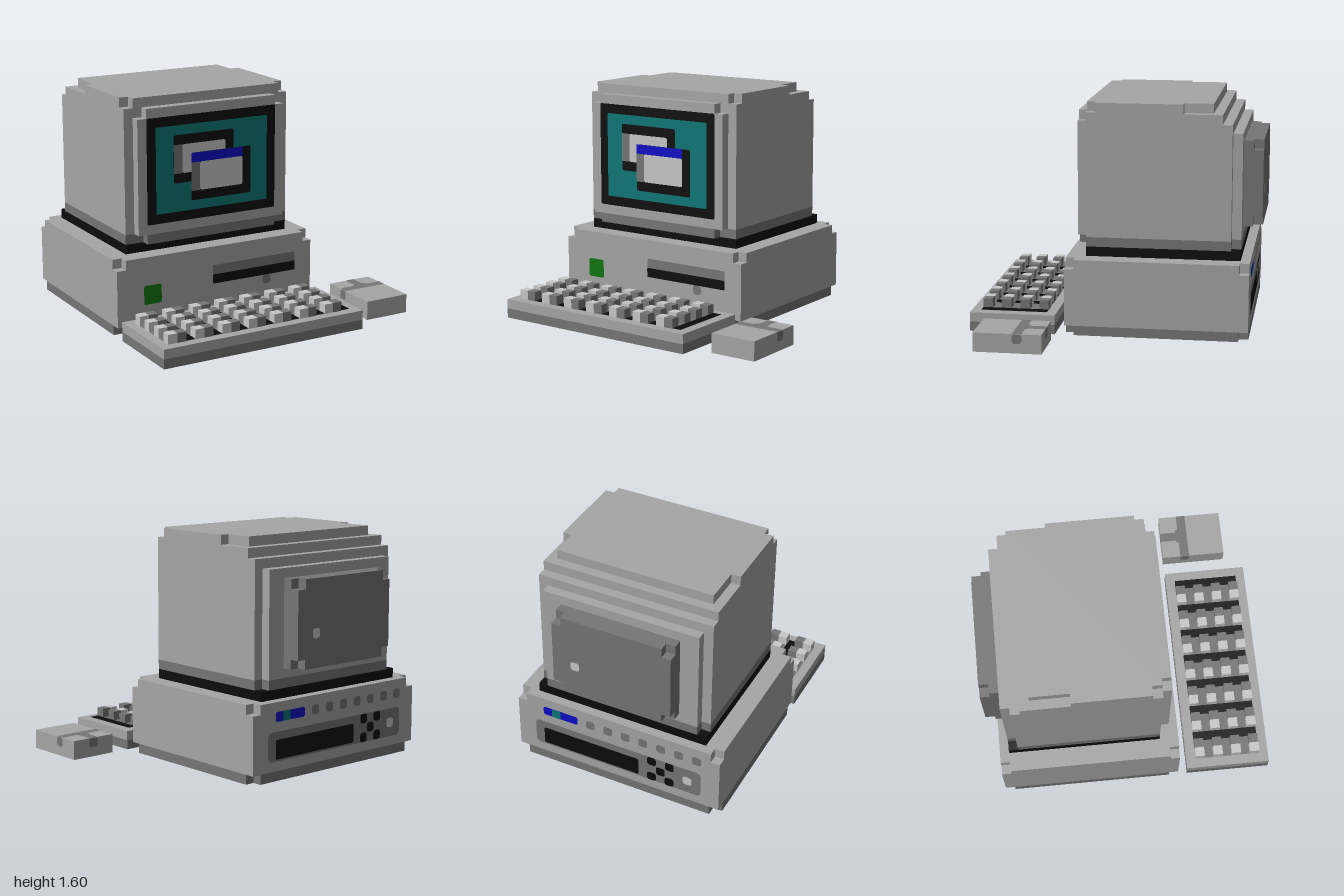
import * as THREE from 'three';

const material = (name, color) => {
  const m = new THREE.MeshStandardMaterial({ color });
  m.name = name;
  return m;
};

export function createModel() {
  const light = material('lightGrey', 0xc8c8c8);
  const grey = material('caseGrey', 0xa6a6a6);
  const dark = material('darkGrey', 0x767676);
  const black = material('black', 0x0c0c0c);
  const teal = material('teal', 0x0c7676);
  const blue = material('blue', 0x0c0cc8);
  const green = material('green', 0x0f760f);

  // Everything is laid out on a block grid, 15 blocks to one unit
  const model = new THREE.Group();
  model.name = 'desktopComputer';
  const blocks = new THREE.Group();
  blocks.name = 'blocks';
  blocks.scale.setScalar(1 / 15);
  model.add(blocks);

  let parent;
  const section = (name) => {
    parent = new THREE.Group();
    parent.name = name;
    blocks.add(parent);
  };
  const box = (name, mat, x0, x1, y0, y1, z0, z1) => {
    const mesh = new THREE.Mesh(new THREE.BoxGeometry(x1 - x0, y1 - y0, z1 - z0), mat);
    mesh.position.set((x0 + x1) / 2, (y0 + y1) / 2, (z0 + z1) / 2);
    mesh.name = name;
    parent.add(mesh);
  };
  // Slab whose four vertical corner blocks are missing
  const notchedSlab = (name, mat, x0, x1, y0, y1, z0, z1) => {
    box(name, mat, x0 + 1, x1 - 1, y0, y1, z0, z1);
    box(name, mat, x0, x0 + 1, y0, y1, z0 + 1, z1 - 1);
    box(name, mat, x1 - 1, x1, y0, y1, z0 + 1, z1 - 1);
  };

  // Painted rounded rectangle on a face; a and b are the two axes of that face
  const paint = (name, mat, face, at, a0, a1, b0, b1, level = 1, r = 0.2) => {
    const w = (a1 - a0) / 2, h = (b1 - b0) / 2;
    const s = new THREE.Shape();
    s.moveTo(-w + r, -h);
    s.lineTo(w - r, -h);
    s.absarc(w - r, -h + r, r, -Math.PI / 2, 0);
    s.absarc(w - r, h - r, r, 0, Math.PI / 2);
    s.absarc(-w + r, h - r, r, Math.PI / 2, Math.PI);
    s.absarc(-w + r, -h + r, r, Math.PI, Math.PI * 1.5);
    const mesh = new THREE.Mesh(new THREE.ShapeGeometry(s, 3), mat);
    const a = (a0 + a1) / 2, b = (b0 + b1) / 2, e = 0.03 * level;
    if (face === 'front') mesh.position.set(a, b, at + e);
    if (face === 'back') { mesh.rotation.y = Math.PI; mesh.position.set(a, b, at - e); }
    if (face === 'top') { mesh.rotation.x = -Math.PI / 2; mesh.position.set(a, at + e, b); }
    if (face === 'bottom') { mesh.rotation.x = Math.PI / 2; mesh.position.set(a, at - e, b); }
    if (face === 'left') { mesh.rotation.y = Math.PI / 2; mesh.position.set(at + e, b, a); }
    if (face === 'right') { mesh.rotation.y = -Math.PI / 2; mesh.position.set(at - e, b, a); }
    mesh.name = name;
    parent.add(mesh);
  };
  const dot = (name, mat, face, at, a, b, level = 1) =>
    paint(name, mat, face, at, a - 0.5, a + 0.5, b - 0.5, b + 0.5, level, 0.3);

  // Main case
  section('mainCase');
  notchedSlab('caseBase', dark, -15, 8, 0, 1, -14, 5);
  box('caseBody', grey, -15, 8, 1, 7, -14, 5);
  notchedSlab('caseTop', grey, -15, 8, 7, 8, -14, 5);
  paint('powerLight', green, 'front', 5, -12, -10, 3, 5);
  paint('driveLip', dark, 'front', 5, -4, 6, 4, 6, 1);
  paint('driveSlot', black, 'front', 5, -4, 6, 4, 5, 2, 0.1);
  dot('ejectButton', dark, 'front', 5, 2.5, 3.5);
  for (const x of [-12, 5]) for (const z of [-11.5, 2.5]) {
    paint('caseFoot', black, 'bottom', 0, x - 0.9, x + 0.9, z - 0.9, z + 0.9, 1, 0.3);
  }

  // Rear connectors
  paint('bluePort', blue, 'back', -14, 1, 5, 6, 7, 1, 0.25);
  paint('tealPort', teal, 'back', -14, 3, 4, 6, 7, 2, 0.1);
  for (let i = 0; i < 7; i++) dot('jack', dark, 'back', -14, -0.5 - 2 * i, 6.5);
  paint('rearPanel', dark, 'back', -14, -13, 6, 2, 5, 1, 0.5);
  paint('rearVent', black, 'back', -14, -6, 5, 2.2, 4.2, 2);
  for (const [x, y] of [[-7.5, 4.5], [-9.5, 4.5], [-8.5, 3.5], [-7.5, 2.5], [-9.5, 2.5]]) {
    dot('fanHole', black, 'back', -14, x, y, 2);
  }
  dot('rearSwitch', light, 'back', -14, -11.5, 3.5, 2);

  // Monitor, with stepped layers at the top rear
  section('monitor');
  box('neck', black, -13, 6, 8, 9, -13, 3);
  box('monitorBase', dark, -13, 6, 9, 10, -12, 3);
  box('monitorBody', grey, -13, 6, 10, 22, -12, 3);
  box('monitorShoulder', grey, -13, 6, 22, 23, -11, 3);
  box('monitorTop', grey, -12, 5, 23, 24, -10, 3);
  box('topRightEdge', grey, -13, -12, 23, 24, -6, 2);
  box('topLeftEdge', grey, 5, 6, 23, 24, -7, 2);
  box('rearLayer', grey, -12, 5, 10, 21, -13, -12);
  box('rearLayerBase', dark, -12, 5, 9, 10, -13, -12);
  box('frontFrameBase', dark, -11, 4, 9, 10, 3, 4);
  box('frontFrame', grey, -12, 5, 10, 22, 3, 4);
  box('frontFrameTop', grey, -11, 4, 22, 23, 3, 4);

  // Rear housing with missing outer corner blocks
  box('rearHousing', dark, -10, 3, 11, 20, -14, -13);
  box('rearHousingCover', dark, -9, 2, 11, 20, -15, -14);
  box('rearHousingCover', dark, -10, 3, 12, 19, -15, -14);
  dot('housingScrew', light, 'back', -15, 0.5, 14.5);

  // Screen with two overlapping windows
  section('screen');
  paint('screenBezel', black, 'front', 4, -11, 4, 11, 22, 1);
  paint('screenGlass', teal, 'front', 4, -10, 3, 12, 21, 2, 0.02);
  const screenWindow = (x, y, level) => {
    paint('windowFrame', black, 'front', 4, x, x + 7, y, y + 5, level);
    paint('windowSidebar', dark, 'front', 4, x, x + 1, y + 1, y + 4, level + 1, 0.03);
    paint('windowPage', light, 'front', 4, x + 1, x + 6, y + 1, y + 4, level + 1);
  };
  screenWindow(-8, 15, 3);
  screenWindow(-6, 13, 5);
  paint('titleBar', blue, 'front', 4, -6, 0, 17, 18, 7, 0.05);

  // Keyboard
  section('keyboard');
  box('keyboardBase', dark, -15, 8, 0, 1, 6, 15);
  box('keyboardTop', grey, -15, 8, 1, 2, 6, 15);
  paint('keyBed', dark, 'top', 2, -14, 7, 7, 14);
  for (let x = -14; x < 7; x += 3) {
    paint('keyGap', black, 'top', 2, x + 2, x + 3, 7, 14, 2, 0.1);
    for (let z = 7; z < 14; z += 2) {
      box('lightKey', light, x, x + 1, 2, 3, z, z + 1);
      box('darkKey', dark, x + 1, x + 2, 2, 3, z, z + 1);
    }
  }
  for (const x of [-12, 5]) {
    paint('footSocket', grey, 'bottom', 0, x - 1.7, x + 1.7, 7.8, 9.2, 1, 0.4);
    paint('keyboardFoot', black, 'bottom', 0, x - 1.4, x + 1.4, 8.1, 8.9, 2, 0.3);
  }

  // Mouse
  section('mouse');
  box('mouseBody', grey, 10, 15, 0, 2, 6, 13);
  paint('mouseBand', dark, 'top', 2, 10, 15, 8, 9, 1, 0.01);
  paint('buttonSplit', dark, 'top', 2, 12, 13, 6, 8, 1, 0.01);
  paint('splitFlare', dark, 'top', 2, 11.7, 13.3, 7.7, 8.1, 2, 0.15);
  dot('bandEnd', dark, 'left', 15, 8.5, 1.5);
  dot('bandEnd', dark, 'right', 10, 8.5, 1.5);
  dot('splitEnd', dark, 'back', 6, 12.5, 1.5);
  paint('ballRing', dark, 'bottom', 0, 11, 14, 8, 11, 1, 0.4);
  dot('ball', black, 'bottom', 0, 12.5, 9.5, 2);

  return model;
}
